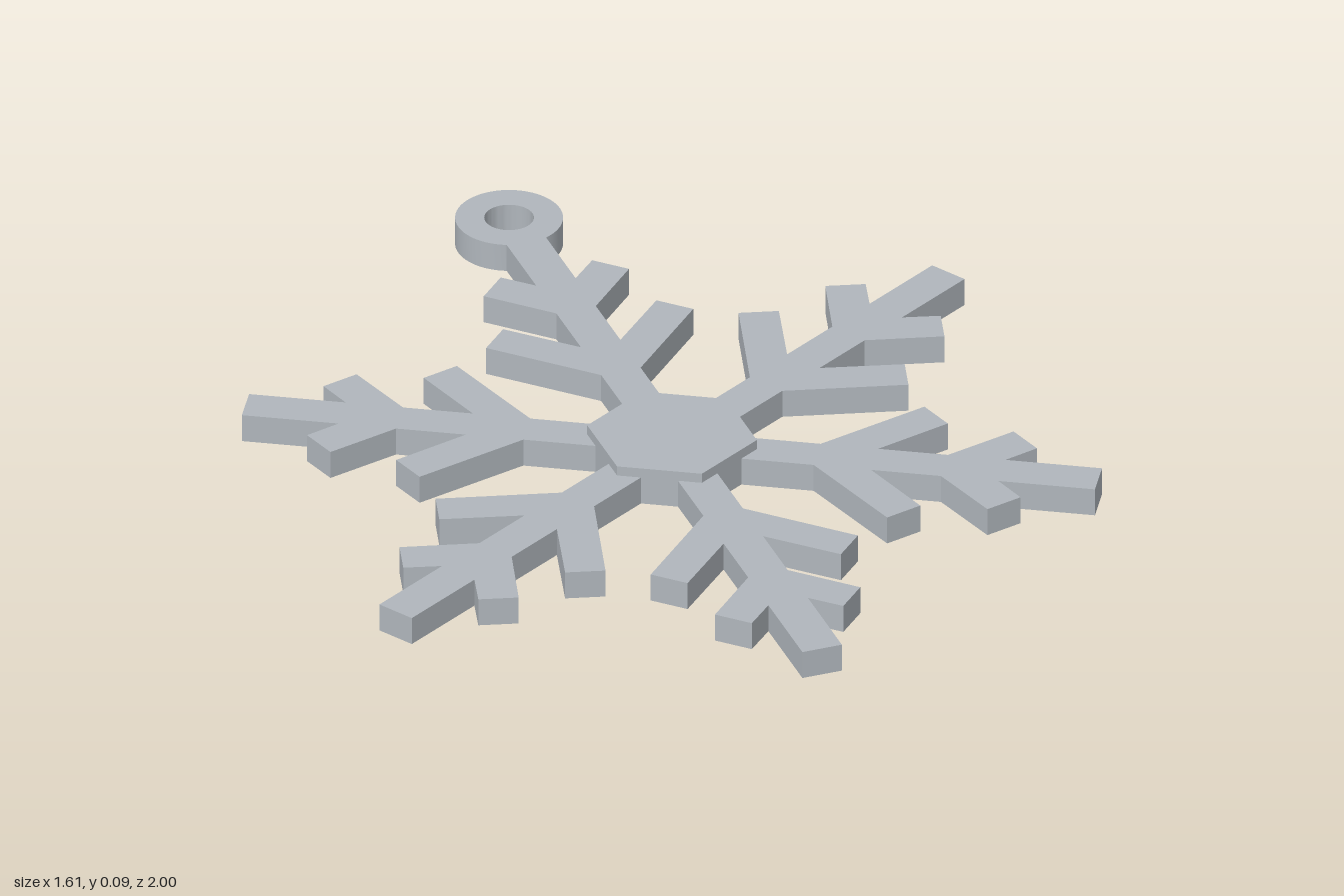
import * as THREE from 'three';
import { toCreasedNormals } from 'three/addons/utils/BufferGeometryUtils.js';

const THICK = 0.063;      // plate thickness
const CENTER_Z = 0.095;   // middle of the snowflake
const HALF = 0.044;       // half width of arms
const ARM = 0.905;        // arm length
const STEM = 0.895;       // shorter arm that carries the ring

// One side of an arm as [along, sideways] points, from valley to tip
function armSide(length) {
  const points = [[HALF / Math.tan(Math.PI / 6), HALF]];
  const k = 0.061, c = 0.03;
  for (const [start, reach] of [[0.325, 0.201], [0.595, 0.132]]) {
    points.push(
      [start + HALF - k, HALF],
      [start + reach - c, reach + c],
      [start + reach + c, reach - c],
      [start + HALF + k, HALF]
    );
  }
  points.push([length, HALF]);
  return points;
}

// Extrude a flat outline upward from y = 0
function plate(shape, curveSegments = 12) {
  const geometry = new THREE.ExtrudeGeometry(shape, { depth: THICK, bevelEnabled: false, curveSegments });
  return geometry.rotateX(-Math.PI / 2);
}

export function createModel() {
  const group = new THREE.Group();
  group.name = 'snowflakeOrnament';
  const silver = new THREE.MeshStandardMaterial({ color: 0xb0b6bc });
  silver.name = 'silver grey';

  function add(name, geometry, x, y, z) {
    const mesh = new THREE.Mesh(geometry, silver);
    mesh.name = name;
    mesh.position.set(x, y, z);
    group.add(mesh);
  }

  // Six branched arms as one continuous outline
  const outline = [];
  for (let i = 0; i < 6; i++) {
    const angle = Math.PI / 2 + i * Math.PI / 3;
    const side = armSide(i === 0 ? STEM : ARM);
    const right = side.map(([r, u]) => [r, -u]);
    const left = side.slice(1).reverse(); // the next arm supplies the shared valley
    for (const [r, u] of [...right, ...left]) {
      outline.push(new THREE.Vector2(r, u).rotateAround(new THREE.Vector2(), angle));
    }
  }
  add('branchedArms', plate(new THREE.Shape(outline)), 0, 0, CENTER_Z);

  // Raised hexagonal hub
  const hubHeight = 0.085;
  add('hexagonHub', new THREE.CylinderGeometry(0.18, 0.18, hubHeight, 6).toNonIndexed(), 0, hubHeight / 2, CENTER_Z);
  const hub = group.children[group.children.length - 1];
  hub.geometry.computeVertexNormals();

  // Hanging ring at the end of the back arm
  const ring = new THREE.Shape().absarc(0, 0, 0.113, 0, Math.PI * 2, false);
  ring.holes.push(new THREE.Path().absarc(0, 0, 0.052, 0, Math.PI * 2, true));
  add('hangingRing', toCreasedNormals(plate(ring, 32), 0.6), 0, 0, -0.887);

  return group;
}
